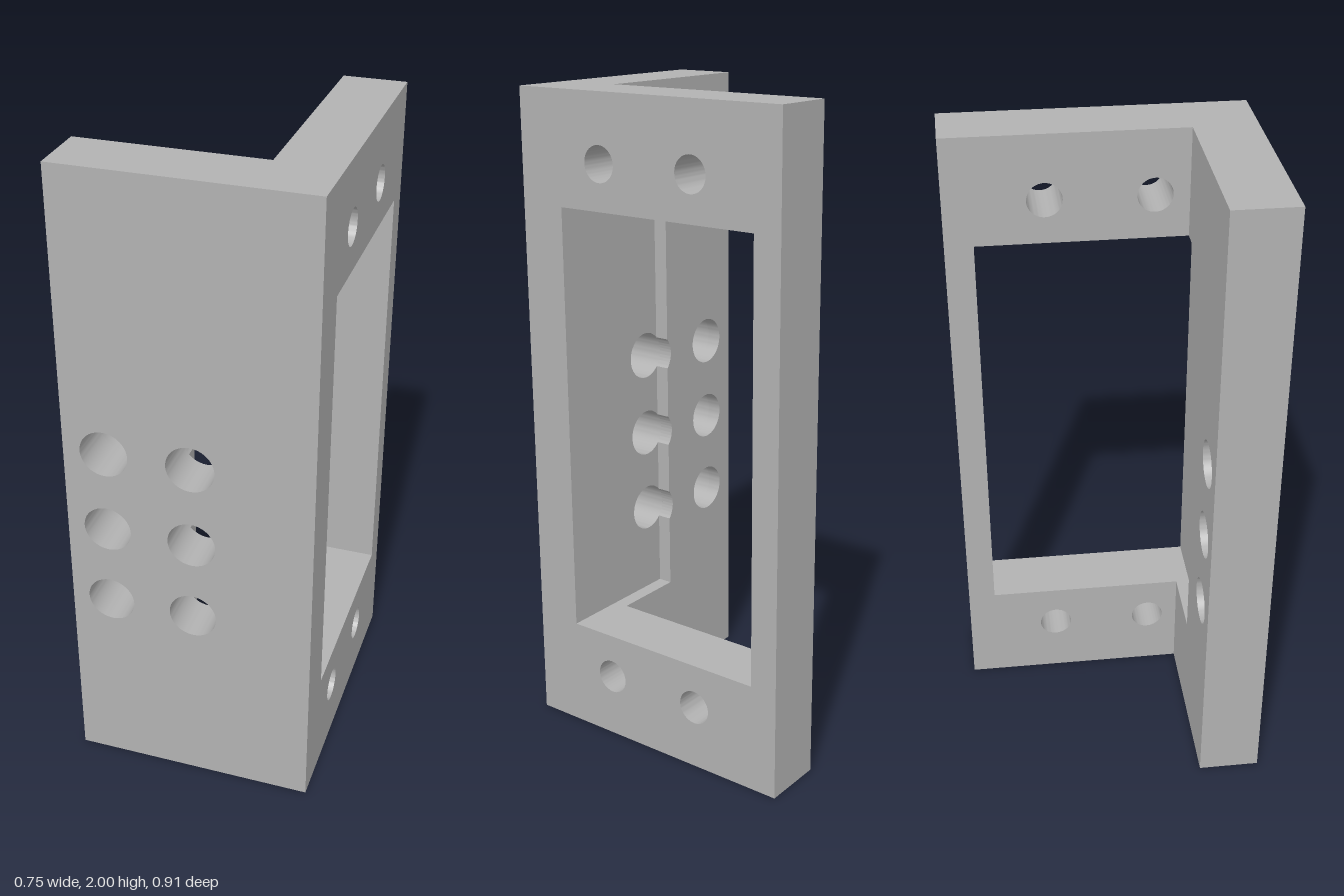
import * as THREE from 'three';
import { toCreasedNormals } from 'three/addons/utils/BufferGeometryUtils.js';

const H = 2, X = 0.375, Z = 0.457;          // height and half extents
const INNER_X = 0.183, INNER_Z = 0.265;     // inner faces of the two plates
const POCKET_X = -0.045, POCKET_Z = 0.31;   // far wall and floor of the pocket
const Y0 = 0.34, Y1 = 1.665;                // window bottom and top
const R = 0.073, ROWS = [0.62, 0.88, 1.14]; // front plate holes

const poly = (pts) => new THREE.Shape(pts.map(([x, y]) => new THREE.Vector2(x, y)));

function drill(shape, x, y, r) {
  shape.holes.push(new THREE.Path().absarc(x, y, r, 0, Math.PI * 2, true));
}

function slab(name, shape, depth, material) {
  const geo = new THREE.ExtrudeGeometry(shape, { depth, bevelEnabled: false, curveSegments: 32 });
  const mesh = new THREE.Mesh(toCreasedNormals(geo, 0.5), material);
  mesh.name = name;
  return mesh;
}

export function createModel() {
  const group = new THREE.Group();
  group.name = 'angleBracket';
  const grey = new THREE.MeshStandardMaterial({ color: 0xb2b2b2 });
  grey.name = 'grey';

  // Outer layer of the front plate, with six through holes
  const outer = poly([[-X, 0], [X, 0], [X, H], [-X, H]]);
  for (const y of ROWS) for (const x of [-0.25, 0.01]) drill(outer, x, y, R);
  const frontPlate = slab('frontPlate', outer, Z - POCKET_Z, grey);
  frontPlate.position.z = POCKET_Z;

  // Inner layer, cut away by the pocket; one column of holes breaks its wall
  const a = Math.acos((POCKET_X - 0.01) / R);
  const inner = new THREE.Shape();
  inner.moveTo(-X, 0).lineTo(INNER_X, 0).lineTo(INNER_X, Y0).lineTo(POCKET_X, Y0);
  for (const y of ROWS) inner.absarc(0.01, y, R, Math.PI * 2 - a, a, true);
  inner.lineTo(POCKET_X, Y1).lineTo(INNER_X, Y1).lineTo(INNER_X, H).lineTo(-X, H);
  for (const y of ROWS) drill(inner, -0.25, y, R);
  const pocketLayer = slab('pocketLayer', inner, POCKET_Z - INNER_Z, grey);
  pocketLayer.position.z = INNER_Z;

  // Side plate around the window, drawn with -z to the right
  const f = -POCKET_Z, w = 0.37;
  const side = poly([[f, 0], [Z, 0], [Z, H], [f, H], [f, Y1], [w, Y1], [w, Y0], [f, Y0]]);
  for (const y of [0.2, 1.8]) for (const u of [-0.163, 0.16]) drill(side, u, y, 0.053);
  const sidePlate = slab('sidePlate', side, X - INNER_X, grey);
  sidePlate.rotation.y = Math.PI / 2;
  sidePlate.position.x = INNER_X;

  group.add(frontPlate, pocketLayer, sidePlate);
  return group;
}
